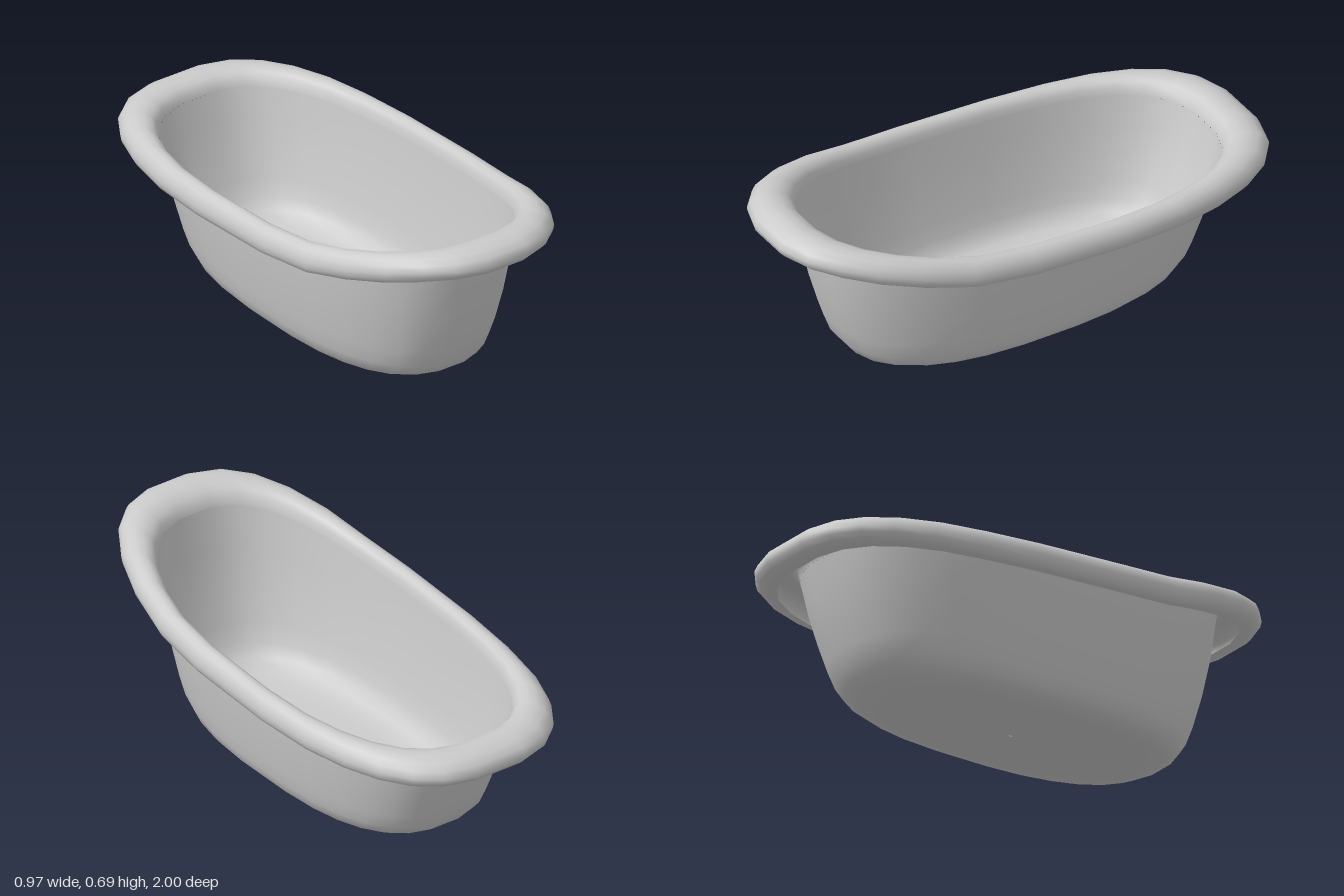
import * as THREE from 'three';

const SEGMENTS = 28;

// Height of the middle of the rolled rim along the length of the tub
const RIM_LINE = [[-1, 0.467], [-0.4, 0.47], [0, 0.485], [0.2, 0.497], [0.4, 0.516], [0.6, 0.562], [0.8, 0.61], [0.9, 0.634], [1, 0.642]];

function rimHeight(z) {
  for (let i = 1; i < RIM_LINE.length; i++) {
    const [z0, y0] = RIM_LINE[i - 1], [z1, y1] = RIM_LINE[i];
    if (z <= z1) return THREE.MathUtils.lerp(y0, y1, Math.max(0, (z - z0) / (z1 - z0)));
  }
  return RIM_LINE[RIM_LINE.length - 1][1];
}

// Point on a squarish oval with half width a, front/back half lengths and roundness
function oval(i, a, front, back, nFront, nBack) {
  const t = ((i + 0.5) / SEGMENTS) * Math.PI * 2;
  const c = Math.cos(t), s = Math.sin(t);
  const p = 2 / (s > 0 ? nFront : nBack);
  return [a * Math.sign(c) * Math.abs(c) ** p, (s > 0 ? front : -back) * Math.abs(s) ** p];
}

const opening = (i) => oval(i, 0.402, 0.82, 0.835, 2.5, 2.65);
const outerEdge = (i) => oval(i, 0.486, 1.003, 1.003, 2.5, 2.85);

// Skin a series of closed rings
function loft(name, rows, point) {
  const positions = [], index = [];
  rows.forEach((row, r) => {
    for (let i = 0; i < SEGMENTS; i++) {
      positions.push(...point(row, i));
      if (r === rows.length - 1) continue;
      const a = r * SEGMENTS + i, b = r * SEGMENTS + ((i + 1) % SEGMENTS);
      index.push(a, b, a + SEGMENTS, b, b + SEGMENTS, a + SEGMENTS);
    }
  });
  const geometry = new THREE.BufferGeometry();
  geometry.setAttribute('position', new THREE.Float32BufferAttribute(positions, 3));
  geometry.setIndex(index);
  geometry.computeVertexNormals();
  const mesh = new THREE.Mesh(geometry, new THREE.MeshStandardMaterial({ color: 0xcccccc, side: THREE.DoubleSide }));
  mesh.name = name;
  return mesh;
}

export function createModel() {
  const tub = new THREE.Group();
  tub.name = 'bathtub';

  // Basin: half width, half length, height, share of the rim's rise
  const basinRows = [
    [0.004, 0.008, 0, 0], [0.2, 0.42, 0.002, 0], [0.255, 0.53, 0.008, 0], [0.295, 0.61, 0.022, 0],
    [0.322, 0.665, 0.05, 0], [0.338, 0.7, 0.09, 0.05], [0.352, 0.728, 0.15, 0.15],
    [0.371, 0.765, 0.25, 0.35], [0.389, 0.798, 0.36, 0.65], [0.402, 0.82, 0.467, 1],
  ];
  tub.add(loft('basin', basinRows, ([a, len, y, share], i) => {
    const [x, z] = oval(i, a, len, len * (1 + 0.018 * share), 2.5, 2.65);
    return [x, y + share * (rimHeight(opening(i)[1]) - 0.467), z];
  }));

  // Rolled rim: position from opening to outer edge, offset from the rim line
  const rimRows = [
    [0, 0], [0.05, 0.027], [0.17, 0.046], [0.36, 0.056], [0.58, 0.054], [0.78, 0.042], [0.93, 0.022],
    [1, -0.003], [0.97, -0.025], [0.87, -0.043], [0.7, -0.053], [0.5, -0.054],
  ];
  tub.add(loft('rolledRim', rimRows, ([u, dy], i) => {
    const [x0, z0] = opening(i), [x1, z1] = outerEdge(i);
    const z = THREE.MathUtils.lerp(z0, z1, u);
    return [THREE.MathUtils.lerp(x0, x1, u), rimHeight(z) + dy, z];
  }));

  return tub;
}
